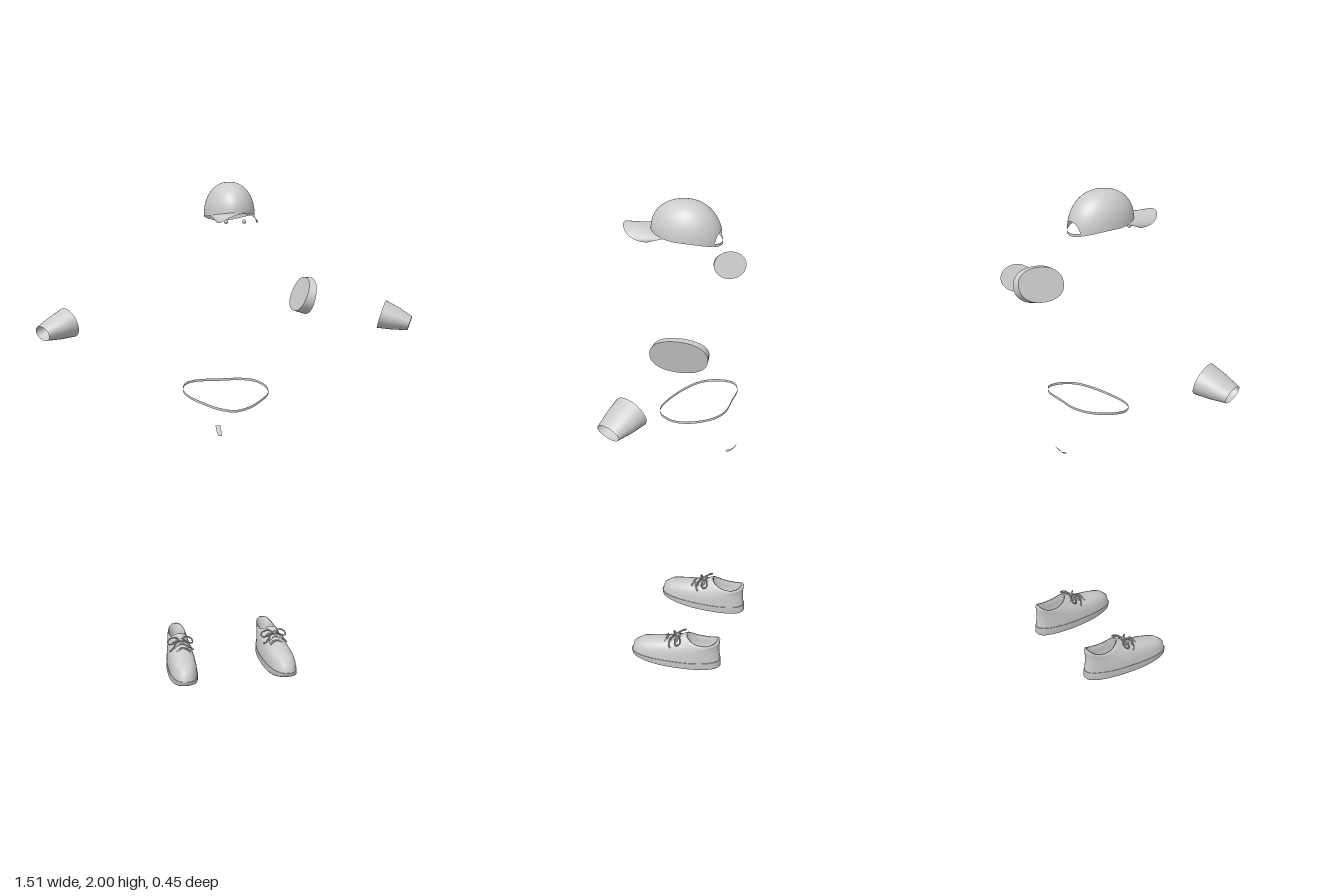
import * as THREE from 'three';

const mat = new THREE.MeshStandardMaterial({ color: 0xcccccc, side: THREE.DoubleSide });
const { sin, cos, abs, sign, sqrt, PI } = Math;
const lerp = THREE.MathUtils.lerp;
const V = (x, y, z) => new THREE.Vector3(x, y, z);

// Smooth sheet from rows of points; wrap closes every row into a ring
function sheet(name, rows, wrap = false) {
  const n = rows[0].length, pos = [], idx = [];
  rows.forEach(r => r.forEach(p => pos.push(p.x, p.y, p.z)));
  for (let j = 0; j < rows.length - 1; j++)
    for (let i = 0; i < (wrap ? n : n - 1); i++) {
      const k = (i + 1) % n, a = j * n + i, b = j * n + k;
      idx.push(a, b, a + n, b, b + n, a + n);
    }
  const g = new THREE.BufferGeometry();
  g.setAttribute('position', new THREE.Float32BufferAttribute(pos, 3));
  g.setIndex(idx);
  g.computeVertexNormals();
  return named(name, g);
}

function named(name, g) {
  const m = new THREE.Mesh(g, mat);
  m.name = name;
  return m;
}

const rowOf = (n, fn, wrap) => Array.from({ length: wrap ? n : n + 1 }, (_, i) => fn(i / n));
const rows = (nv, nu, fn, wrap) => rowOf(nv, v => rowOf(nu, u => fn(u, v), wrap));
const shrink = (ring, s) => {
  const c = ring.reduce((a, p) => a.add(p), V(0, 0, 0)).divideScalar(ring.length);
  return ring.map(p => p.clone().lerp(c, 1 - s));
};

const tube = (name, pts, r, n = 24) =>
  named(name, new THREE.TubeGeometry(new THREE.CatmullRomCurve3(pts.map(p => V(...p))), n, r, 6));

// Flat strip standing across a curve
function strip(name, pts, n, offset, closed = false) {
  const c = new THREE.CatmullRomCurve3(pts.map(p => V(...p)), closed);
  const line = c.getSpacedPoints(n);
  return sheet(name, [-1, 1].map(s => line.map((p, i) => p.clone().addScaledVector(offset(i / n), s))));
}

function makeCap() {
  const cap = new THREE.Group();
  cap.name = 'cap';
  const rimY = t => { const c = cos(t); return 1.872 + (c > 0 ? 0.013 : -0.025) * c * c; };
  const crownPoint = (t, a) => {
    const r = sin(a) ** 0.92, h = cos(a) ** 0.92;
    return V(0.096 * r * sin(t), rimY(t) + (2 - rimY(t)) * h, -0.015 + 0.135 * r * cos(t));
  };
  // crown, cut by an arch at the back
  cap.add(sheet('capCrown', rows(20, 64, (u, v) => {
    const t = u * 2 * PI, back = (t - PI) / 0.5;
    const cut = 0.2 * sqrt(Math.max(0, 1 - back * back));
    return crownPoint(t, Math.max(1e-4, v * (1 - cut)) * PI / 2);
  }, true), true));
  // curved brim
  cap.add(sheet('capBrim', rows(10, 32, (u, v) => {
    const s = u * 2 - 1, t = s * 1.1;
    const inner = V(0.096 * sin(t), rimY(t) + 0.002, -0.015 + 0.135 * cos(t));
    const x = 0.076 * sin(s * PI / 2);
    const outer = V(x, 1.887 - 0.037 * (x / 0.076) ** 2, 0.115 + 0.112 * cos(s * PI / 2) ** 0.75);
    return inner.lerp(outer, v);
  })));
  // strap below the arch
  cap.add(sheet('capStrap', rows(1, 16, (u, v) => {
    const t = PI + (u - 0.5) * 1.1;
    return V(0.096 * sin(t), rimY(t) + v * 0.011, -0.015 + 0.135 * cos(t));
  })));
  const button = named('capButton', new THREE.SphereGeometry(0.007, 12, 8));
  button.scale.y = 0.45;
  button.position.set(0, 1.994, -0.045);
  cap.add(button);
  for (const s of [-1, 1]) {
    const stud = named('capStud', new THREE.SphereGeometry(0.008, 12, 8));
    stud.position.set(s * 0.035, 1.853, 0.09);
    cap.add(stud);
  }
  return cap;
}

// Tapered oval wrist cuff, closed at its wide end
function makeCuff(side) {
  const a = V(-side * -0.63, 1.474, -0.012), b = V(side * 0.735, 1.44, 0.035);
  const axis = b.clone().sub(a).normalize();
  const across = V(0, 1, 0).cross(axis).normalize();
  const up = axis.clone().cross(across);
  const ring = (c, w, h) => rowOf(32, u => c.clone()
    .addScaledVector(across, w * cos(u * 2 * PI)).addScaledVector(up, h * sin(u * 2 * PI)), true);
  const wide = ring(a, 0.07, 0.058), narrow = ring(b, 0.049, 0.029);
  const mid = ring(a.clone().lerp(b, 0.5), 0.062, 0.046);
  const inside = ring(b.clone().lerp(a, 0.6), 0.05, 0.034);
  return sheet('wristCuff', [shrink(wide, 0), wide, wide, mid, narrow, narrow, inside, shrink(inside, 0)], true);
}

// Slanted oval pad on the left upper arm
function makePad() {
  const ring = (x, slope, y, h, z, w) => rowOf(40, u => {
    const c = cos(u * 2 * PI), s = sin(u * 2 * PI);
    const dy = h * sign(s) * abs(s) ** 0.9;
    return V(x + slope * dy, y + dy - 0.006 * c, z + w * sign(c) * abs(c) ** 0.9);
  }, true);
  const outer = ring(0.342, 0.25, 1.547, 0.071, -0.09, 0.109);
  const inner = ring(0.307, 0.42, 1.555, 0.065, -0.09, 0.104);
  return sheet('sleevePad', [shrink(outer, 0), outer, outer, inner, inner, shrink(inner, 0)], true);
}

function makeShoe(side) {
  const shoe = new THREE.Group();
  shoe.name = side > 0 ? 'leftShoe' : 'rightShoe';
  // Stacked outline: back/front z, half widths back/front, heights back/middle/front
  const ring = ([zb, zf, wb, wf, yb, ym, yf]) => rowOf(48, u => {
    const c = cos(u * 2 * PI), s = sin(u * 2 * PI), k = (c + 1) / 2;
    const z = lerp(zb, zf, (sign(c) * abs(c) ** 0.85 + 1) / 2);
    const x = lerp(wb, wf, k) * sign(s) * abs(s) ** 0.8;
    const y = ym + c * c * ((c > 0 ? yf : yb) - ym);
    return V(side * (lerp(0.191, 0.211, (z + 0.22) / 0.38) + x), y, z);
  }, true);
  const sole = [
    [-0.218, 0.145, 0.046, 0.06, 0.004, 0, 0.014],
    [-0.226, 0.157, 0.05, 0.066, 0.012, 0.008, 0.02],
    [-0.226, 0.16, 0.05, 0.066, 0.045, 0.035, 0.035],
  ].map(ring);
  shoe.add(sheet('sole', [shrink(sole[0], 0), sole[0], ...sole, sole[2], shrink(sole[2], 0.95)], true));
  const upper = [
    [-0.223, 0.157, 0.048, 0.064, 0.045, 0.035, 0.034],
    [-0.221, 0.15, 0.048, 0.061, 0.07, 0.06, 0.066],
    [-0.219, 0.125, 0.047, 0.055, 0.09, 0.081, 0.087],
    [-0.219, 0.075, 0.045, 0.047, 0.11, 0.096, 0.1],
    [-0.221, 0.01, 0.044, 0.04, 0.13, 0.108, 0.116],
    [-0.222, -0.05, 0.042, 0.037, 0.143, 0.118, 0.138],
    [-0.219, -0.076, 0.04, 0.034, 0.149, 0.126, 0.155],
    [-0.211, -0.082, 0.034, 0.029, 0.147, 0.125, 0.153],
    [-0.205, -0.07, 0.032, 0.028, 0.11, 0.1, 0.11],
    [-0.2, -0.05, 0.032, 0.03, 0.05, 0.05, 0.05],
  ].map(ring);
  shoe.add(sheet('upper', [...upper, shrink(upper[9], 0)], true));
  // laces across the instep, then the bow
  const at = (x, y, z) => [side * 0.2 + x, y, z];
  [[0.012, 0.12], [-0.015, 0.127], [-0.042, 0.138]].forEach(([z, y]) => {
    for (const s of [-1, 1])
      shoe.add(tube('lace', [at(-s * 0.03, y - 0.014, z), at(0, y + 0.002, z - 0.007), at(s * 0.03, y - 0.014, z - 0.016)], 0.003, 12));
  });
  for (const s of [-1, 1]) {
    shoe.add(tube('bowLoop', [at(0, 0.137, -0.04), at(s * 0.025, 0.147, -0.055), at(s * 0.05, 0.132, -0.062),
      at(s * 0.05, 0.122, -0.045), at(s * 0.025, 0.13, -0.035), at(0, 0.137, -0.04)], 0.003));
    shoe.add(tube('laceEnd', [at(0, 0.137, -0.038), at(s * 0.02, 0.138, -0.02), at(s * 0.04, 0.112, -0.012), at(s * 0.05, 0.1, -0.022)], 0.003));
  }
  const knot = named('laceKnot', new THREE.SphereGeometry(0.008, 12, 8));
  knot.position.set(...at(0, 0.137, -0.04));
  shoe.add(knot);
  return shoe;
}

export function createModel() {
  const model = new THREE.Group();
  model.name = 'outfitPieces';
  model.add(makeCap(), makePad());
  for (const s of [-1, 1]) model.add(makeCuff(s), makeShoe(s));

  // slanted waist hem
  const half = [[0.09, 1.198, -0.197], [0.142, 1.194, -0.168], [0.171, 1.181, -0.1],
    [0.163, 1.165, -0.025], [0.12, 1.147, 0.03], [0.06, 1.128, 0.073]];
  const hem = [[0, 1.198, -0.199], ...half, [0, 1.12, 0.09],
    ...half.slice().reverse().map(([x, y, z]) => [-x, y, z])];
  model.add(strip('waistHem', hem, 96, () => V(0, 0.005, 0), true));

  // small curved tab at the back
  model.add(strip('backTab', [[0, 0.965, -0.18], [0, 0.973, -0.2], [0, 1, -0.222]], 8,
    t => V(lerp(0.007, 0.012, t), 0, 0)));
  return model;
}
